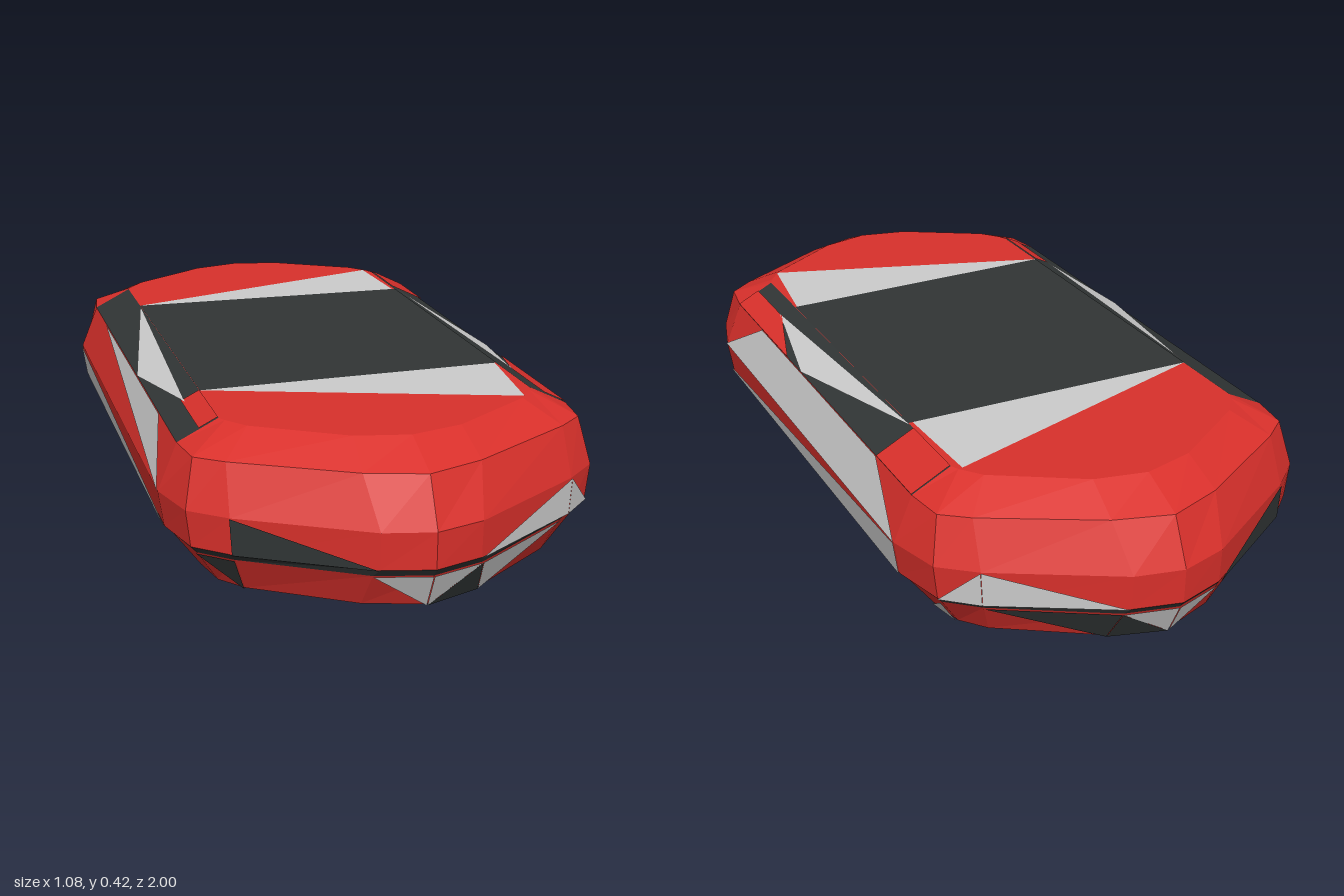
import * as THREE from 'three';

const RED = 0xd9302b, DARK = 0x313535, GREY = 0xcccccc;

// Height, then one quarter of the outline (x, z) from the nose apex to the flank
const RINGS = [
  [0, [[0, 0.83], [0.07, 0.79], [0.2, 0.7], [0.3, 0.63], [0.33, 0.6]]],
  [0.05, [[0, 0.945], [0.14, 0.9], [0.37, 0.75], [0.42, 0.69], [0.44, 0.6]]],
  [0.14, [[0, 0.985], [0.13, 0.95], [0.4, 0.785], [0.475, 0.72], [0.505, 0.6]]],
  [0.16, [[0, 1], [0.12, 0.968], [0.41, 0.8], [0.49, 0.73], [0.525, 0.6]]],
  [0.25, [[0, 1], [0.12, 0.97], [0.415, 0.8], [0.5, 0.73], [0.538, 0.6]]],
  [0.365, [[0, 0.945], [0.14, 0.9], [0.41, 0.75], [0.475, 0.7], [0.49, 0.6]]],
  [0.415, [[0, 0.83], [0.13, 0.8], [0.34, 0.67], [0.38, 0.62], [0.39, 0.6]]],
];

// Point of a ring, mirrored by the signs sx and sz
function node(r, p, sx = 1, sz = 1) {
  const [x, z] = RINGS[r][1][p];
  return new THREE.Vector3(x * sx, RINGS[r][0], z * sz);
}

// Point on the straight flank at a given z and height
function flank(sx, z, y) {
  let i = 1;
  while (i < RINGS.length - 1 && RINGS[i][0] < y) i++;
  const a = node(i - 1, 4), b = node(i, 4);
  const x = THREE.MathUtils.mapLinear(y, a.y, b.y, a.x, b.x);
  return new THREE.Vector3(x * sx, y, z);
}

// Full outline, counterclockwise seen from above, starting at the nose apex
function loop(r) {
  const pts = [];
  for (let p = 0; p <= 4; p++) pts.push(node(r, p, 1, 1));
  for (let p = 4; p >= 0; p--) pts.push(node(r, p, 1, -1));
  for (let p = 1; p <= 4; p++) pts.push(node(r, p, -1, -1));
  for (let p = 4; p >= 1; p--) pts.push(node(r, p, -1, 1));
  return pts;
}

function addMesh(group, name, color, points) {
  const geometry = new THREE.BufferGeometry().setFromPoints(points);
  geometry.computeVertexNormals();
  const material = new THREE.MeshStandardMaterial({ color, flatShading: true });
  const mesh = new THREE.Mesh(geometry, material);
  mesh.name = name;
  group.add(mesh);
}

// Band between two neighbouring rings, limited to the ends or the flanks
function band(group, name, color, r, part = 'all') {
  const a = loop(r), b = loop(r + 1), pts = [];
  a.forEach((_, i) => {
    const isFlank = i % 9 === 4;
    if ((part === 'ends' && isFlank) || (part === 'flanks' && !isFlank)) return;
    const j = (i + 1) % a.length;
    pts.push(a[i], a[j], b[j], a[i], b[j], b[i]);
  });
  addMesh(group, name, color, pts);
}

// Flat lid over a ring
function lid(group, name, color, r, up) {
  const pts = loop(r), out = [];
  for (let i = 1; i < pts.length - 1; i++) {
    out.push(pts[0], ...(up ? [pts[i], pts[i + 1]] : [pts[i + 1], pts[i]]));
  }
  addMesh(group, name, color, out);
}

// Thin convex panel laid just outside the shell, always facing outwards
function panel(group, name, color, corners, lift = 0.003) {
  const pts = [];
  for (let i = 1; i < corners.length - 1; i++) {
    let [a, b, c] = [corners[0], corners[i], corners[i + 1]];
    const n = new THREE.Triangle(a, b, c).getNormal(new THREE.Vector3());
    const outward = a.clone().add(b).add(c).divideScalar(3).sub(new THREE.Vector3(0, 0.2, 0));
    if (n.dot(outward) < 0) {
      n.negate();
      [b, c] = [c, b];
    }
    pts.push(...[a, b, c].map((p) => p.clone().addScaledVector(n, lift)));
  }
  addMesh(group, name, color, pts);
}

export function createModel() {
  const model = new THREE.Group();
  model.name = 'car';

  // Shell from the underside to the roof
  lid(model, 'underside', GREY, 0, false);
  band(model, 'sill', DARK, 0);
  band(model, 'lowerBumper', RED, 1, 'ends');
  band(model, 'lowerFlank', DARK, 1, 'flanks');
  band(model, 'trimStrip', DARK, 2);
  band(model, 'lowerBody', RED, 3);
  band(model, 'upperBody', RED, 4);
  band(model, 'shoulderEnds', RED, 5, 'ends');
  band(model, 'shoulderFlanks', DARK, 5, 'flanks');
  lid(model, 'topDeck', RED, 6, true);

  // Roof and the two windscreens
  const top = (x, z) => new THREE.Vector3(x, 0.415, z);
  panel(model, 'roof', DARK, [top(-0.39, -0.4), top(-0.39, 0.4), top(0.39, 0.4), top(0.39, -0.37)], 0.001);
  panel(model, 'frontWindscreen', GREY, [top(-0.39, 0.4), top(0.385, 0.4), top(0.35, 0.66)], 0.001);
  panel(model, 'rearWindscreen', GREY, [top(-0.39, -0.4), top(0.38, -0.37), top(0.37, -0.62)], 0.001);

  // Flank panels
  for (const s of [1, -1]) {
    const side = s > 0 ? 'left' : 'right';
    const add = (name, color, list) =>
      panel(model, side + name, color, list.map(([z, y]) => flank(s, z, y)));
    add('RoofWindow', GREY, [[-0.39, 0.415], [0.1, 0.365], [0.42, 0.395]]);
    add('UpperDoor', GREY, s > 0
      ? [[0.6, 0.25], [0.4, 0.365], [-0.4, 0.365], [-0.6, 0.25]]
      : [[0.6, 0.25], [0.4, 0.365], [-0.4, 0.365]]);
    add('LowerDoor', GREY, [[0.6, 0.168], [-0.6, 0.25], [-0.6, 0.16], [0.6, 0.16]]);
    add('SillPanel', GREY, [[0.6, 0.12], [-0.6, 0.05], [0.6, 0.075]]);
    add('SillStripe', RED, [[0.6, 0.07], [-0.6, 0.05], [0.6, 0.05]]);
  }

  // Red patches breaking the dark shoulders
  panel(model, 'leftFrontShoulder', RED,
    [flank(1, 0.6, 0.395), flank(1, 0.4, 0.395), flank(1, 0.2, 0.365), flank(1, 0.6, 0.365)]);
  panel(model, 'leftRearShoulder', RED,
    [flank(1, -0.4, 0.415), flank(1, -0.4, 0.365), flank(1, -0.6, 0.365), flank(1, -0.6, 0.415)]);
  panel(model, 'rightFrontShoulder', RED,
    [flank(-1, 0.4, 0.415), flank(-1, 0.4, 0.392), flank(-1, 0.6, 0.392), flank(-1, 0.6, 0.415)]);

  // Lamps, grilles and bumper pieces at both ends
  for (const sz of [1, -1]) {
    const end = sz > 0 ? 'front' : 'rear';
    const add = (name, color, list) =>
      panel(model, end + name, color, list.map(([r, p, sx]) => node(r, p, sx, sz)), 0.004);
    add('LeftLamp', GREY, [[4, 2, 1], [3, 1, 1], [3, 2, 1], [3, 3, 1]]);
    add('RightLamp', DARK, [[4, 2, -1], [3, 1, -1], [3, 2, -1]]);
    add('GrilleRight', GREY, [[2, 1, -1], [2, 0, 1], [1, 0, 1]]);
    add('GrilleLeft', DARK, [[1, 0, 1], [2, 1, 1], [1, 1, 1]]);
    add('GrilleCentre', GREY, [[1, 0, 1], [2, 0, 1], [2, 1, 1]]);
    add('LeftBumper', sz > 0 ? GREY : DARK, [[1, 1, 1], [2, 1, 1], [2, 2, 1]]);
    add('LeftCorner', GREY, [[1, 3, 1], [2, 3, 1], [1, 4, 1]]);
    add('RightCorner', DARK, [[1, 2, -1], [2, 2, -1], [2, 3, -1]]);
  }
  return model;
}
